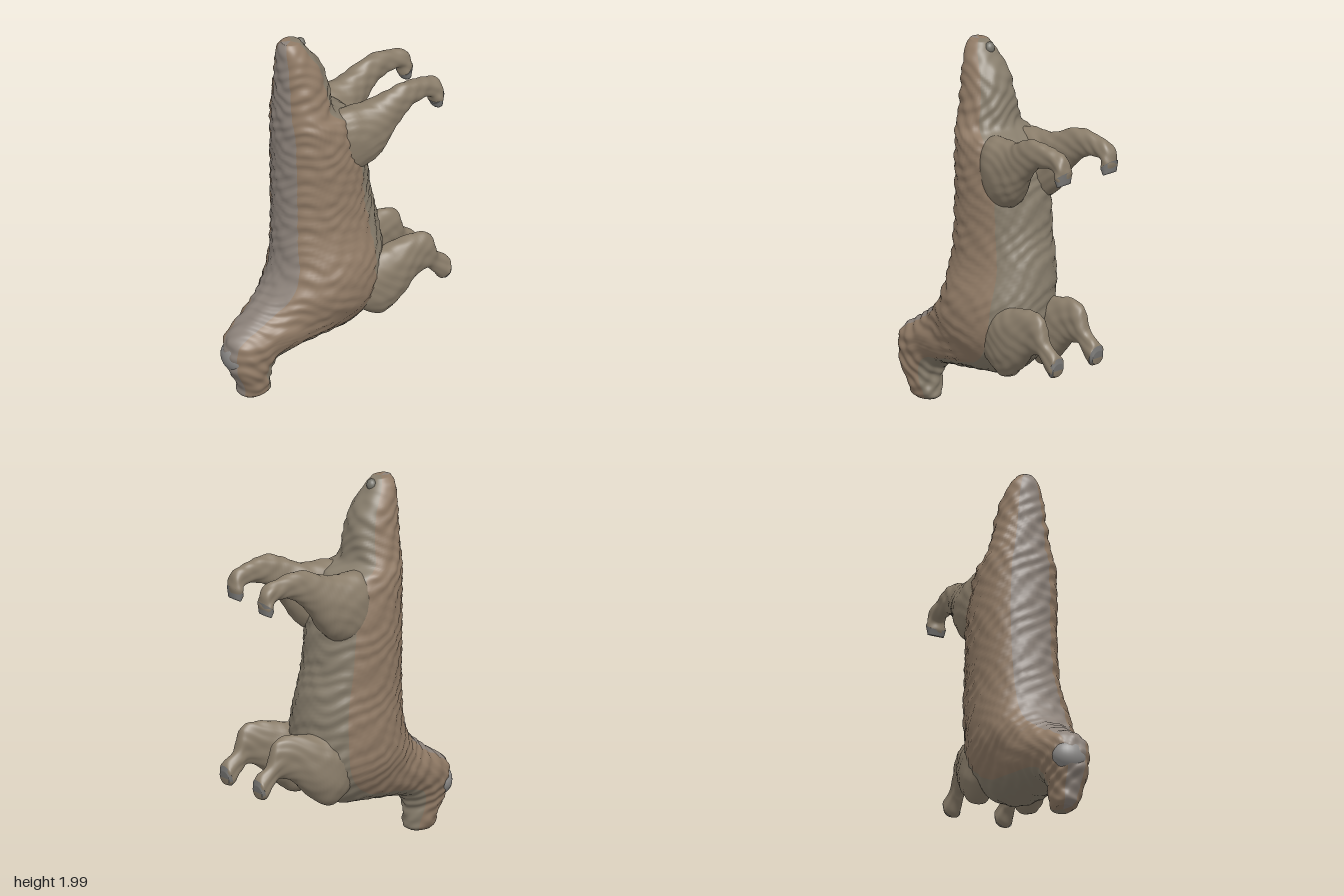
import * as THREE from 'three';

const SIDES = 64;
const mat = (color) => new THREE.MeshStandardMaterial({ color });
const power = (v) => Math.sign(v) * Math.abs(v) ** 0.9;

// Lumpy fleece pattern, -1 to 1.
const wool = (p) =>
  Math.sin(p.y * 66 + 2 * Math.sin((p.x - p.z) * 15)) * Math.cos((p.x + p.z) * 52 + 2 * Math.sin(p.y * 19));

// Smooth skin through stations [zA, yA, zB, yB, xCentre, halfWidth]:
// A and B are the two opposite edges of each cross-section.
// materials run from edge A (first) to edge B (last) around the section.
function loft(name, stations, rings, bump, materials) {
  const curve = (f) => new THREE.CatmullRomCurve3(stations.map(f), false, 'catmullrom', 0.5);
  const edgeA = curve((s) => new THREE.Vector3(s[4], s[1], s[0]));
  const edgeB = curve((s) => new THREE.Vector3(s[4], s[3], s[2]));
  const width = curve((s) => new THREE.Vector3(s[5], 0, 0));
  const positions = [];
  const p = new THREE.Vector3();
  for (let i = 0; i <= rings + 2; i++) {
    const t = THREE.MathUtils.clamp((i - 1) / rings, 0, 1);
    const closed = i === 0 || i === rings + 2;
    const a = edgeA.getPoint(t), b = edgeB.getPoint(t), w = width.getPoint(t).x;
    const mid = a.clone().add(b).multiplyScalar(0.5);
    const half = a.sub(b).multiplyScalar(0.5);
    for (let j = 0; j < SIDES; j++) {
      const angle = (j / SIDES) * Math.PI * 2;
      p.copy(mid);
      if (!closed) {
        const offset = half.clone().multiplyScalar(power(Math.cos(angle)));
        offset.x += w * power(Math.sin(angle));
        p.add(offset);
        p.addScaledVector(offset.normalize(), bump * wool(p) * Math.min(1, 8 * t, 8 * (1 - t)));
      }
      positions.push(p.x, p.y, p.z);
    }
  }
  const faces = materials.map(() => []);
  for (let i = 0; i < rings + 2; i++) {
    for (let j = 0; j < SIDES; j++) {
      const k = (j + 1) % SIDES;
      const around = Math.abs(((j + 0.5) / SIDES) * 2 - 1); // 1 at edge A, 0 at edge B
      const zone = Math.min(materials.length - 1, Math.floor((1 - around) * materials.length * 1.2));
      const a = i * SIDES + j, b = i * SIDES + k, c = a + SIDES, d = b + SIDES;
      faces[zone].push(a, c, b, b, c, d);
    }
  }
  const geometry = new THREE.BufferGeometry();
  geometry.setAttribute('position', new THREE.Float32BufferAttribute(positions, 3));
  geometry.setIndex(faces.flat());
  let start = 0;
  faces.forEach((f, n) => {
    geometry.addGroup(start, f.length, n);
    start += f.length;
  });
  geometry.computeVertexNormals();
  const mesh = new THREE.Mesh(geometry, materials);
  mesh.name = name;
  return mesh;
}

function ellipsoid(name, color, position, scale) {
  const mesh = new THREE.Mesh(new THREE.SphereGeometry(1, 28, 18), mat(color));
  mesh.name = name;
  mesh.position.set(...position);
  mesh.scale.set(...scale);
  return mesh;
}

export function createModel() {
  const model = new THREE.Group();
  model.name = 'animal';
  const backGrey = mat(0x8d837b), tan = mat(0x917b66), belly = mat(0x877d6c);
  const legColor = mat(0x8b7e6b), hoofColor = mat(0x7b7a78);

  // Rump, barrel, chest, neck and bent head, from the tail end to the muzzle
  model.add(loft('body', [
    [0.24, 1.992, 0.14, 1.985, -0.055, 0.045],
    [0.258, 1.95, 0.095, 1.92, -0.055, 0.083],
    [0.262, 1.84, 0.025, 1.82, -0.052, 0.118],
    [0.265, 1.7, -0.01, 1.68, -0.05, 0.145],
    [0.268, 1.58, -0.03, 1.56, -0.05, 0.172],
    [0.27, 1.5, -0.13, 1.5, -0.046, 0.205],
    [0.27, 1.37, -0.2, 1.36, -0.045, 0.218],
    [0.27, 1.2, -0.235, 1.2, -0.045, 0.224],
    [0.272, 1.02, -0.252, 1.02, -0.04, 0.224],
    [0.283, 0.84, -0.288, 0.84, -0.028, 0.232],
    [0.305, 0.68, -0.295, 0.65, -0.003, 0.258],
    [0.36, 0.57, -0.27, 0.42, 0.005, 0.25],
    [0.44, 0.5, -0.13, 0.28, 0.005, 0.198],
    [0.53, 0.435, 0.1, 0.248, 0.008, 0.165],
    [0.6, 0.39, 0.28, 0.23, 0.012, 0.14],
    [0.64, 0.345, 0.365, 0.2, 0.015, 0.125],
    [0.65, 0.27, 0.4, 0.15, 0.022, 0.108],
    [0.64, 0.19, 0.408, 0.1, 0.028, 0.093],
    [0.59, 0.09, 0.405, 0.055, 0.028, 0.08],
    [0.58, 0.03, 0.405, 0.02, 0.025, 0.066],
    [0.55, 0.003, 0.43, 0.003, 0.022, 0.045],
  ], 220, 0.007, [backGrey, tan, tan, tan, belly]));

  model.add(ellipsoid('forehead', 0x8f8d8b, [0.005, 0.255, 0.592], [0.092, 0.085, 0.068]));
  model.add(ellipsoid('tail', 0x76746b, [-0.06, 1.95, 0.125], [0.028, 0.032, 0.026]));

  // Leg outline as [zLower, yLower, zUpper, yUpper, spread, halfWidth];
  // spread 0 keeps the root position, 1 reaches the foot position.
  const hindLeg = [
    [0.03, 1.2, 0.04, 1.48, 0, 0.06],
    [-0.1, 1.17, -0.03, 1.54, 0.1, 0.105],
    [-0.235, 1.225, -0.2, 1.545, 0.4, 0.095],
    [-0.34, 1.37, -0.31, 1.585, 0.8, 0.064],
    [-0.44, 1.465, -0.41, 1.615, 1, 0.048],
    [-0.53, 1.487, -0.54, 1.597, 1, 0.039],
    [-0.575, 1.475, -0.625, 1.562, 1, 0.043],
    [-0.585, 1.435, -0.648, 1.49, 1, 0.052],
    [-0.6, 1.405, -0.64, 1.425, 1, 0.042],
  ];
  const foreLeg = [
    [-0.06, 0.38, -0.04, 0.56, 0, 0.055],
    [-0.2, 0.3, -0.15, 0.65, 0.1, 0.092],
    [-0.31, 0.36, -0.28, 0.685, 0.4, 0.088],
    [-0.41, 0.46, -0.41, 0.707, 0.75, 0.058],
    [-0.485, 0.485, -0.505, 0.685, 1, 0.043],
    [-0.525, 0.45, -0.55, 0.57, 1, 0.036],
    [-0.565, 0.4, -0.605, 0.525, 1, 0.042],
    [-0.59, 0.39, -0.622, 0.5, 1, 0.047],
    [-0.615, 0.4, -0.625, 0.47, 1, 0.036],
  ];
  const legs = [
    ['rightHindLeg', hindLeg, -0.155, -0.16, -0.008],
    ['leftHindLeg', hindLeg, 0.07, 0.15, 0.025],
    ['rightForeLeg', foreLeg, -0.13, -0.08, 0],
    ['leftForeLeg', foreLeg, 0.152, 0.213, 0.005],
  ];
  for (const [name, outline, rootX, footX, shift] of legs) {
    const stations = outline.map(([za, ya, zb, yb, spread, w]) => [
      za + shift * spread, ya, zb + shift * spread, yb,
      THREE.MathUtils.lerp(rootX, footX, spread), w,
    ]);
    const leg = new THREE.Group();
    leg.name = name;
    leg.add(loft('limb', stations, 60, 0.004, [legColor]));
    const sole = stations.slice(-2).map((s) => [s[0] + 0.002, s[1], s[2] - 0.002, s[3], s[4], s[5] + 0.002]);
    leg.add(loft('hoof', sole, 8, 0, [hoofColor]));
    model.add(leg);
  }
  return model;
}
